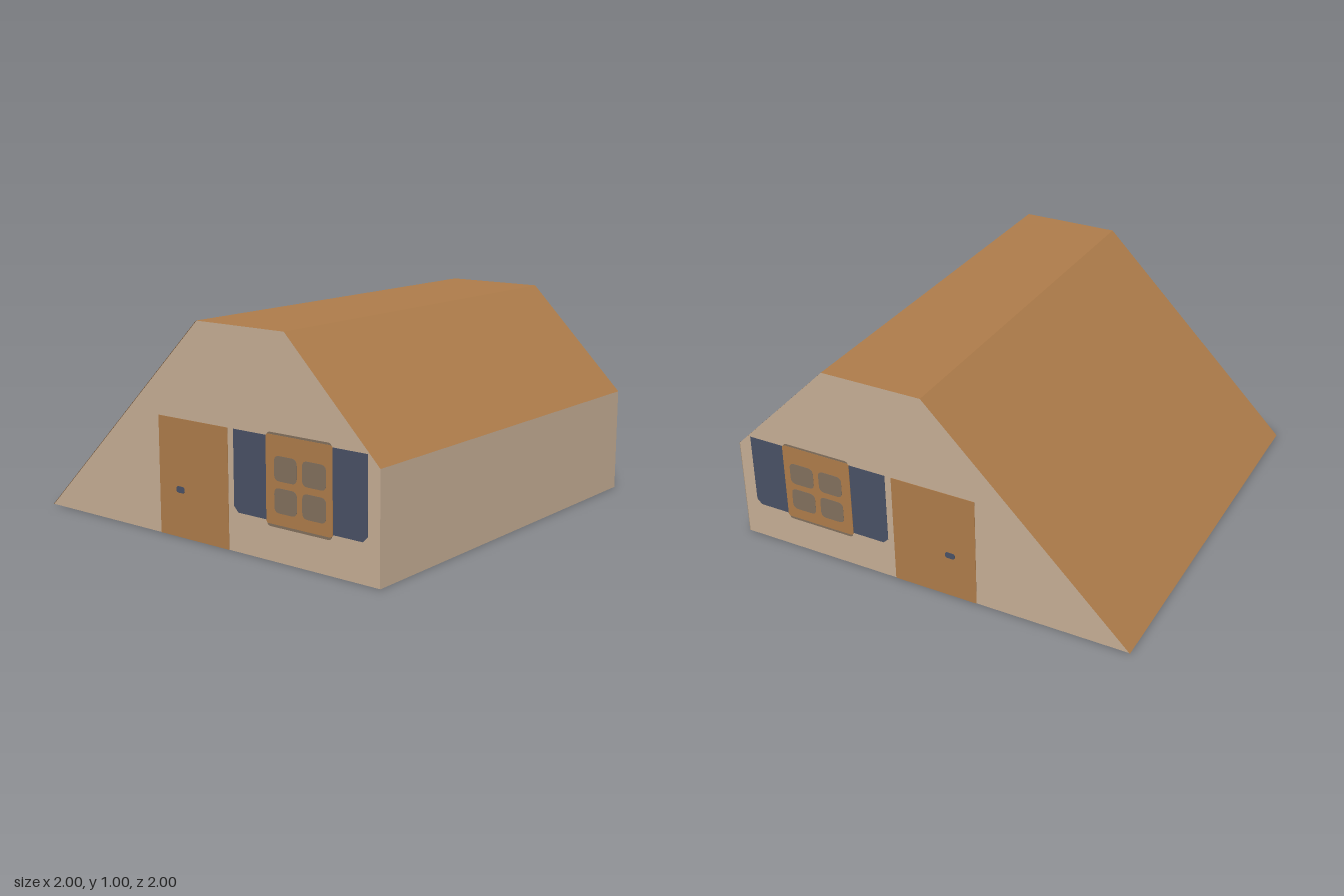
import * as THREE from 'three';

const mat = (name, color, side = THREE.FrontSide) => {
  const m = new THREE.MeshStandardMaterial({ color, side });
  m.name = name;
  return m;
};

// Side outline of the house as [z, y], front foot to back foot
const PROFILE = [[1, 0], [1, 0.5], [0.5, 1], [0, 1], [-1, 0]];
const WALL_X = 0.996;

export function createModel() {
  const house = new THREE.Group();
  house.name = 'house';
  const plaster = mat('plaster', 0xc6ae95, THREE.DoubleSide);
  const roofWood = mat('roofWood', 0xae7c4a, THREE.DoubleSide);
  const wood = mat('wood', 0xae7c4a);
  const navy = mat('navy', 0x495165);
  const taupe = mat('taupe', 0x82705d);

  // Front wall and the three roof panels, open underneath
  ['frontWall', 'frontRoof', 'flatRoof', 'backRoof'].forEach((name, i) => {
    const [z0, y0] = PROFILE[i], [z1, y1] = PROFILE[i + 1];
    const panel = new THREE.Mesh(
      new THREE.PlaneGeometry(2, Math.hypot(z1 - z0, y1 - y0)),
      i === 0 ? plaster : roofWood
    );
    panel.name = name;
    panel.position.set(0, (y0 + y1) / 2, (z0 + z1) / 2);
    panel.rotation.x = Math.atan2(z1 - z0, y1 - y0);
    house.add(panel);
  });

  // Shapes use -z as their horizontal axis and are then turned to face x
  const wallShape = new THREE.Shape(PROFILE.map(([z, y]) => new THREE.Vector2(-z, y)));

  // Rounded rectangle from z and y ranges
  const roundedRect = (zMin, zMax, yMin, yMax, r) => {
    const a = -zMax, b = -zMin;
    const s = new THREE.Shape();
    s.moveTo(a + r, yMin);
    s.lineTo(b - r, yMin);
    s.quadraticCurveTo(b, yMin, b, yMin + r);
    s.lineTo(b, yMax - r);
    s.quadraticCurveTo(b, yMax, b - r, yMax);
    s.lineTo(a + r, yMax);
    s.quadraticCurveTo(a, yMax, a, yMax - r);
    s.lineTo(a, yMin + r);
    s.quadraticCurveTo(a, yMin, a + r, yMin);
    return s;
  };

  // Shutter with one lower corner cut; outer is +1 towards the front
  const shutterShape = (zMin, zMax, outer) => {
    const edge = outer > 0 ? zMax : zMin, inner = outer > 0 ? zMin : zMax;
    return new THREE.Shape([
      [inner, 0.18], [edge - outer * 0.025, 0.18], [edge, 0.205], [edge, 0.55], [inner, 0.55],
    ].map(([z, y]) => new THREE.Vector2(-z, y)));
  };

  for (const side of [1, -1]) {
    const end = new THREE.Group();
    end.name = side > 0 ? 'leftEnd' : 'rightEnd';
    end.position.x = side * WALL_X;
    house.add(end);

    const wall = new THREE.Mesh(new THREE.ShapeGeometry(wallShape), plaster);
    wall.name = 'endWall';
    wall.rotation.y = Math.PI / 2;
    end.add(wall);

    // Thin plate seen on both faces of the wall; higher layers lie on top
    const plate = (name, shape, material, layer) => {
      const half = layer * 0.001;
      const geo = new THREE.ExtrudeGeometry(shape, {
        depth: half * 2, bevelEnabled: false, curveSegments: 5,
      });
      geo.translate(0, 0, -half);
      geo.rotateY(Math.PI / 2);
      const mesh = new THREE.Mesh(geo, material);
      mesh.name = name;
      end.add(mesh);
    };

    // Door with its knob
    plate('door', roundedRect(-0.25, 0.172, 0, 0.55, 0.002), wood, 2);
    plate('doorKnob', roundedRect(-0.145, -0.095, 0.208, 0.238, 0.014), navy, 4);

    // Window with shutters, surround, frame and four panes
    plate('frontShutter', shutterShape(0.745, 0.935, 1), navy, 1);
    plate('backShutter', shutterShape(0.205, 0.4, -1), navy, 1);
    plate('windowSurround', roundedRect(0.397, 0.75, 0.155, 0.567, 0.02), taupe, 2);
    plate('windowFrame', roundedRect(0.393, 0.755, 0.167, 0.558, 0.015), wood, 3);
    for (const [zMin, zMax] of [[0.594, 0.722], [0.44, 0.565]])
      for (const yMin of [0.22, 0.36])
        plate('windowPane', roundedRect(zMin, zMax, yMin, yMin + 0.11, 0.028), taupe, 4);
  }
  return house;
}
